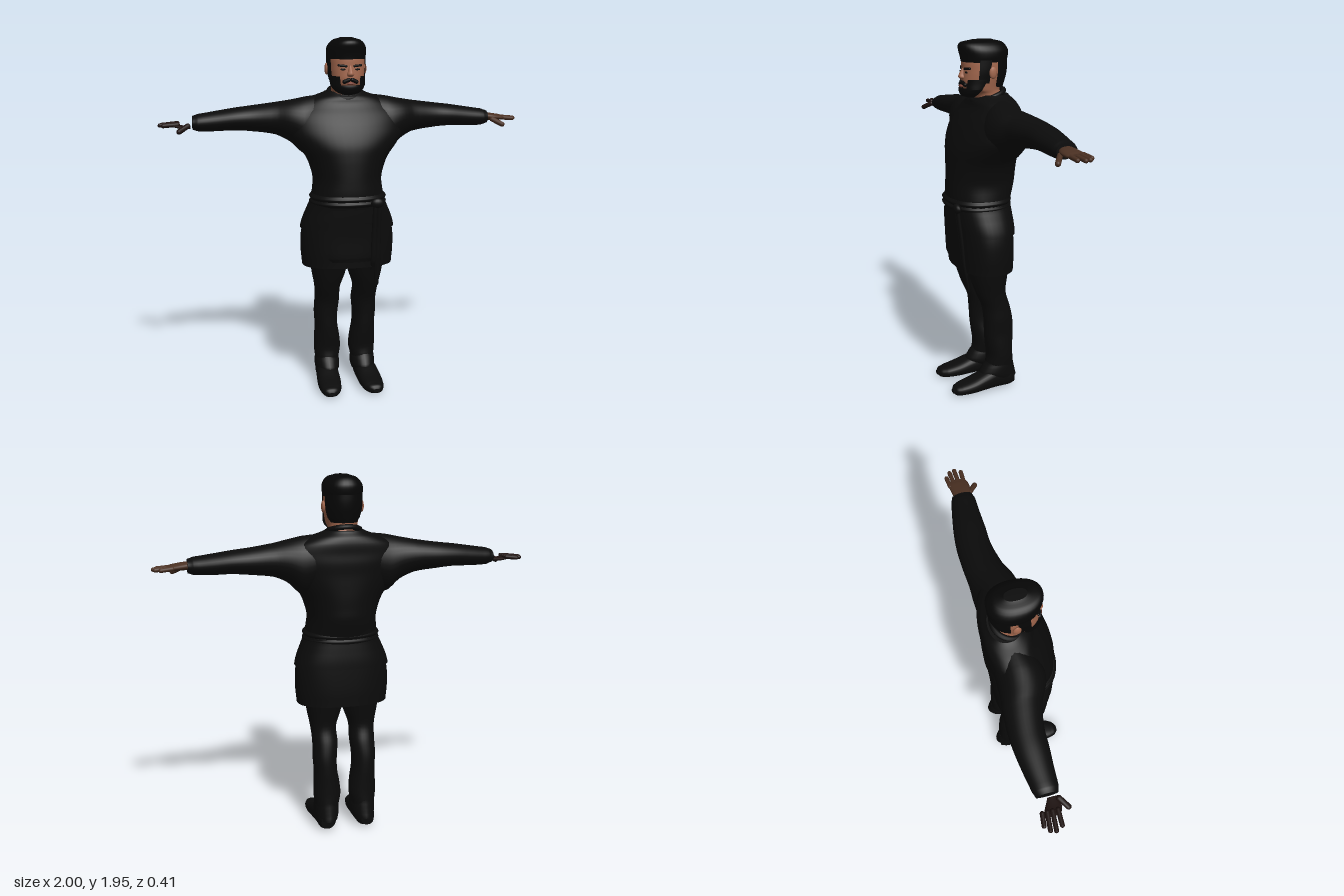
import * as THREE from 'three';

const mat = (name, color, side = THREE.FrontSide) => {
  const m = new THREE.MeshStandardMaterial({ color, side });
  m.name = name;
  return m;
};

// Catmull-Rom resampling of a list of section rows
function refine(rows, steps) {
  const out = [];
  const spline = (a, b, c, d, t) => 0.5 * (2 * b + (c - a) * t + (2 * a - 5 * b + 4 * c - d) * t * t + (3 * b - a - 3 * c + d) * t * t * t);
  for (let i = 0; i < rows.length - 1; i++) {
    const p0 = rows[Math.max(i - 1, 0)], p1 = rows[i], p2 = rows[i + 1], p3 = rows[Math.min(i + 2, rows.length - 1)];
    for (let s = 0; s < steps; s++) {
      const t = s / steps;
      out.push(p1.map((v, k) => (k === 0 ? v + (p2[0] - v) * t : spline(p0[k], v, p2[k], p3[k], t))));
    }
  }
  out.push(rows[rows.length - 1]);
  return out;
}

// Skin over oval sections [along, sideMin, sideMax, frontMin, frontMax], ordered by rising "along".
// axis y: side = x, front = z; axis x: side = z, front = y; axis z: side = y, front = x
function loft(rows, { axis = 'y', seg = 36, arc = null, power = 1 } = {}) {
  const rings = refine(rows, 4), pos = [], idx = [];
  const place = (t, s, f) => pos.push(...(axis === 'y' ? [s, t, f] : axis === 'x' ? [t, f, s] : [f, s, t]));
  const [a0, a1] = arc || [0, Math.PI * 2], n = arc ? seg + 1 : seg;
  const bend = v => Math.sign(v) * Math.pow(Math.abs(v), power);
  const putRing = ([t, s0, s1, f0, f1]) => {
    for (let j = 0; j < n; j++) {
      const a = a0 + (a1 - a0) * j / seg;
      place(t, (s0 + s1) / 2 + bend(Math.sin(a)) * (s1 - s0) / 2, (f0 + f1) / 2 + bend(Math.cos(a)) * (f1 - f0) / 2);
    }
  };
  rings.forEach(putRing);
  for (let i = 0; i < rings.length - 1; i++)
    for (let j = 0; j < seg; j++) {
      const a = i * n + j, b = i * n + (j + 1) % n;
      idx.push(a, b, b + n, a, b + n, a + n);
    }
  if (!arc) for (const end of [0, 1]) {
    const r = rings[end ? rings.length - 1 : 0], base = pos.length / 3;
    putRing(r);
    place(r[0], (r[1] + r[2]) / 2, (r[3] + r[4]) / 2);
    for (let j = 0; j < n; j++) {
      const a = base + j, b = base + (j + 1) % n;
      idx.push(...(end ? [a, b, base + n] : [b, a, base + n]));
    }
  }
  const g = new THREE.BufferGeometry();
  g.setAttribute('position', new THREE.Float32BufferAttribute(pos, 3));
  g.setIndex(idx);
  g.computeVertexNormals();
  return g;
}

// Rounded rod between two points
function rod(a, b, r) {
  const p = new THREE.Vector3(...a), d = new THREE.Vector3(...b).sub(p), len = d.length();
  const g = new THREE.CapsuleGeometry(r, len - 2 * r, 5, 12);
  g.applyQuaternion(new THREE.Quaternion().setFromUnitVectors(new THREE.Vector3(0, 1, 0), d.normalize()));
  return g.translate(p.x + d.x * len / 2, p.y + d.y * len / 2, p.z + d.z * len / 2);
}

function mirrored(geo) {
  const g = geo.clone().scale(-1, 1, 1), ix = g.index.array;
  for (let i = 0; i < ix.length; i += 3) [ix[i], ix[i + 1]] = [ix[i + 1], ix[i]];
  g.computeVertexNormals();
  return g;
}

export function createModel() {
  const model = new THREE.Group();
  const cloth = mat('black cloth', 0x0b0b0b, THREE.DoubleSide);
  const hair = mat('black hair', 0x060606, THREE.DoubleSide);
  const skin = mat('face skin', 0xa4684e);
  const handSkin = mat('hand skin', 0x4a3022);
  const darkHand = mat('dark hand skin', 0x1e1210);
  const lip = mat('lips', 0x84483a);
  const add = (name, geo, material) => {
    const m = new THREE.Mesh(geo, material);
    m.name = name;
    model.add(m);
    return m;
  };
  const pair = (name, geo, material, other = material) => {
    add('left ' + name, geo, material);
    add('right ' + name, mirrored(geo), other);
  };
  const sym = rows => rows.map(([y, w, z0, z1]) => [y, -w, w, z0, z1]);

  // Tunic
  add('tunic', loft(sym([[1.05, 0.2, -0.16, 0.165], [1.12, 0.195, -0.175, 0.172], [1.2, 0.187, -0.195, 0.17],
    [1.26, 0.2, -0.198, 0.167], [1.32, 0.225, -0.2, 0.163], [1.38, 0.27, -0.2, 0.155], [1.44, 0.31, -0.2, 0.135],
    [1.5, 0.32, -0.203, 0.108], [1.55, 0.31, -0.2, 0.078], [1.6, 0.26, -0.2, 0.045], [1.635, 0.185, -0.19, 0.032],
    [1.665, 0.105, -0.165, 0.0]]), { power: 0.92, seg: 48 }), cloth);
  const collar = add('collar', new THREE.TorusGeometry(0.088, 0.014, 10, 36), cloth);
  collar.rotation.x = -Math.PI / 2 + 0.33;
  collar.position.set(0, 1.658, -0.06);

  // Sleeves
  pair('sleeve', loft([[0.1, -0.18, 0.02, 1.4, 1.65], [0.22, -0.185, 0.06, 1.33, 1.638], [0.3, -0.187, 0.045, 1.395, 1.622],
    [0.38, -0.195, 0.005, 1.435, 1.608], [0.5, -0.2, -0.022, 1.452, 1.592], [0.6, -0.193, -0.025, 1.46, 1.58],
    [0.7, -0.178, -0.03, 1.458, 1.565], [0.79, -0.162, -0.033, 1.46, 1.552], [0.82, -0.152, -0.042, 1.47, 1.542]],
  { axis: 'x', seg: 32 }), cloth);

  // Hands: the right one has an open gap at the wrist
  add('left palm', loft([[0.8, -0.135, -0.06, 1.49, 1.53], [0.85, -0.143, -0.043, 1.485, 1.526],
    [0.9, -0.15, -0.046, 1.485, 1.518], [0.92, -0.143, -0.055, 1.489, 1.513]], { axis: 'x', seg: 20 }), handSkin);
  add('right palm', mirrored(loft([[0.83, -0.1, -0.055, 1.476, 1.49], [0.88, -0.125, -0.043, 1.475, 1.496],
    [0.92, -0.14, -0.055, 1.485, 1.505]], { axis: 'x', seg: 20 })), darkHand);
  [[-0.141, -0.15, 0.965], [-0.117, -0.127, 0.992], [-0.092, -0.1, 1.0], [-0.066, -0.067, 0.983]].forEach(([z0, z1, tip], i) =>
    pair('finger ' + (i + 1), rod([0.885, 1.502, z0], [tip, 1.494, z1], 0.0115), handSkin, darkHand));
  pair('thumb', rod([0.835, 1.5, -0.055], [0.902, 1.463, -0.005], 0.014), handSkin, darkHand);

  // Skirt of the tunic in two layers, with a front panel
  add('skirt', loft(sym([[0.72, 0.25, -0.17, 0.135], [0.8, 0.257, -0.172, 0.139], [0.9, 0.255, -0.17, 0.143],
    [1.0, 0.232, -0.166, 0.152], [1.1, 0.195, -0.16, 0.168]]), { power: 0.85, seg: 48 }), cloth);
  add('upper skirt layer', loft(sym([[0.93, 0.26, -0.178, 0.15], [0.98, 0.247, -0.176, 0.156], [1.04, 0.222, -0.17, 0.163],
    [1.09, 0.202, -0.165, 0.17]]), { power: 0.85, seg: 48 }), cloth);
  add('front panel', loft(sym([[0.755, 0.2, -0.16, 0.146], [0.78, 0.25, -0.17, 0.151], [0.9, 0.262, -0.17, 0.156],
    [1.05, 0.22, -0.165, 0.17]]), { arc: [-0.5, 0.5], power: 0.85, seg: 20 }), cloth);

  // Belt: two wraps, a knot and hanging ends
  [1.078, 1.105].forEach((y, i) => add('belt wrap ' + (i + 1), loft(sym([[y - 0.016, 0.199, -0.164, 0.174],
    [y, 0.21, -0.172, 0.185], [y + 0.016, 0.199, -0.167, 0.174]]), { power: 0.9, seg: 48 }), cloth));
  add('belt knot', new THREE.SphereGeometry(0.03, 16, 12).scale(1.2, 0.9, 0.7).translate(0.13, 1.085, 0.172), cloth);
  [[0.118, 0.7], [0.14, 0.615]].forEach(([x, y], i) => add('belt end ' + (i + 1), loft([
    [y, x - 0.012, x + 0.012, 0.105, 0.117], [0.76, x - 0.016, x + 0.016, 0.128, 0.146],
    [0.9, x - 0.015, x + 0.015, 0.14, 0.16], [1.08, x - 0.012, x + 0.012, 0.16, 0.182]], { seg: 12 }), cloth));

  // Trousers, ankle cuffs and shoes
  pair('trouser leg', loft([[0.07, 0.045, 0.165, -0.175, -0.015], [0.14, 0.037, 0.17, -0.17, -0.01],
    [0.2, 0.026, 0.176, -0.166, -0.018], [0.27, 0.032, 0.175, -0.165, -0.008], [0.34, 0.044, 0.172, -0.165, 0.0],
    [0.42, 0.044, 0.177, -0.16, 0.004], [0.5, 0.036, 0.175, -0.143, 0.015], [0.58, 0.038, 0.18, -0.118, 0.05],
    [0.66, 0.012, 0.195, -0.125, 0.078], [0.76, -0.01, 0.21, -0.14, 0.1]], { power: 0.92, seg: 32 }), cloth);
  pair('ankle cuff', loft([[0.06, 0.045, 0.165, -0.192, 0.0], [0.09, 0.035, 0.173, -0.185, 0.03], [0.13, 0.035, 0.173, -0.176, 0.01],
    [0.16, 0.04, 0.17, -0.17, -0.012]], { seg: 28 }), cloth);
  pair('shoe', loft([[-0.17, 0.015, 0.085, 0.08, 0.15], [-0.14, 0.005, 0.11, 0.06, 0.162], [-0.06, 0.004, 0.125, 0.05, 0.17],
    [0.01, 0.003, 0.105, 0.05, 0.178], [0.08, 0.0, 0.08, 0.053, 0.183], [0.15, 0.0, 0.062, 0.065, 0.178],
    [0.185, 0.003, 0.052, 0.085, 0.165], [0.203, 0.015, 0.035, 0.11, 0.145]], { axis: 'z', power: 0.8, seg: 28 }), cloth);

  // Head and neck
  add('head', loft(sym([[1.6, 0.085, -0.145, 0.025], [1.64, 0.078, -0.138, 0.015], [1.675, 0.077, -0.125, 0.03],
    [1.695, 0.083, -0.12, 0.072], [1.73, 0.09, -0.128, 0.086], [1.77, 0.096, -0.142, 0.085], [1.8, 0.098, -0.15, 0.083],
    [1.84, 0.097, -0.15, 0.082], [1.88, 0.09, -0.14, 0.072], [1.92, 0.06, -0.1, 0.04]]), { power: 0.92 }), skin);
  pair('ear', new THREE.SphereGeometry(0.03, 14, 10).scale(0.35, 1.05, 0.7).translate(0.104, 1.785, -0.045), skin);
  add('nose', loft(sym([[1.747, 0.014, 0.06, 0.092], [1.758, 0.02, 0.06, 0.107], [1.775, 0.014, 0.06, 0.103],
    [1.805, 0.009, 0.06, 0.088]]), { seg: 16 }), skin);
  pair('eyebrow', rod([0.016, 1.802, 0.083], [0.066, 1.807, 0.066], 0.0065), hair);
  pair('eye', new THREE.SphereGeometry(0.013, 12, 8).scale(1.1, 0.42, 0.4).translate(0.039, 1.786, 0.079), hair);
  add('lips', new THREE.SphereGeometry(0.022, 14, 8).scale(1, 0.35, 0.4).translate(0, 1.713, 0.094), lip);

  // Hair: cap with a raised fringe, back and sideburns
  add('hair top', loft(sym([[1.838, 0.101, -0.158, 0.086], [1.865, 0.105, -0.164, 0.091], [1.895, 0.103, -0.165, 0.1],
    [1.92, 0.09, -0.152, 0.103], [1.938, 0.068, -0.13, 0.088], [1.95, 0.03, -0.08, 0.03]]), { power: 0.9 }), hair);
  add('hair back', loft(sym([[1.705, 0.075, -0.14, 0.05], [1.73, 0.09, -0.146, 0.07], [1.77, 0.101, -0.156, 0.083],
    [1.81, 0.104, -0.161, 0.086], [1.85, 0.103, -0.162, 0.088]]), { arc: [1.85, Math.PI * 2 - 1.85], power: 0.92 }), hair);
  pair('sideburn', loft(sym([[1.73, 0.096, -0.14, 0.092], [1.79, 0.102, -0.15, 0.09], [1.85, 0.103, -0.157, 0.088]]),
    { arc: [1.12, 1.6], power: 0.92, seg: 8 }), hair);

  // Beard: chin, cheeks and moustache
  add('chin beard', loft(sym([[1.648, 0.004, 0.03, 0.04], [1.652, 0.03, 0.01, 0.06], [1.66, 0.055, -0.03, 0.086],
    [1.675, 0.075, -0.06, 0.096], [1.692, 0.088, -0.09, 0.099], [1.704, 0.092, -0.1, 0.097]]),
  { arc: [-1.5, 1.5], power: 0.92 }), hair);
  pair('cheek beard', loft(sym([[1.7, 0.093, -0.1, 0.098], [1.725, 0.096, -0.125, 0.095], [1.75, 0.099, -0.14, 0.092]]),
    { arc: [0.55, 1.5], power: 0.92, seg: 14 }), hair);
  pair('moustache', rod([0, 1.736, 0.089], [0.042, 1.717, 0.08], 0.011), hair);
  return model;
}
